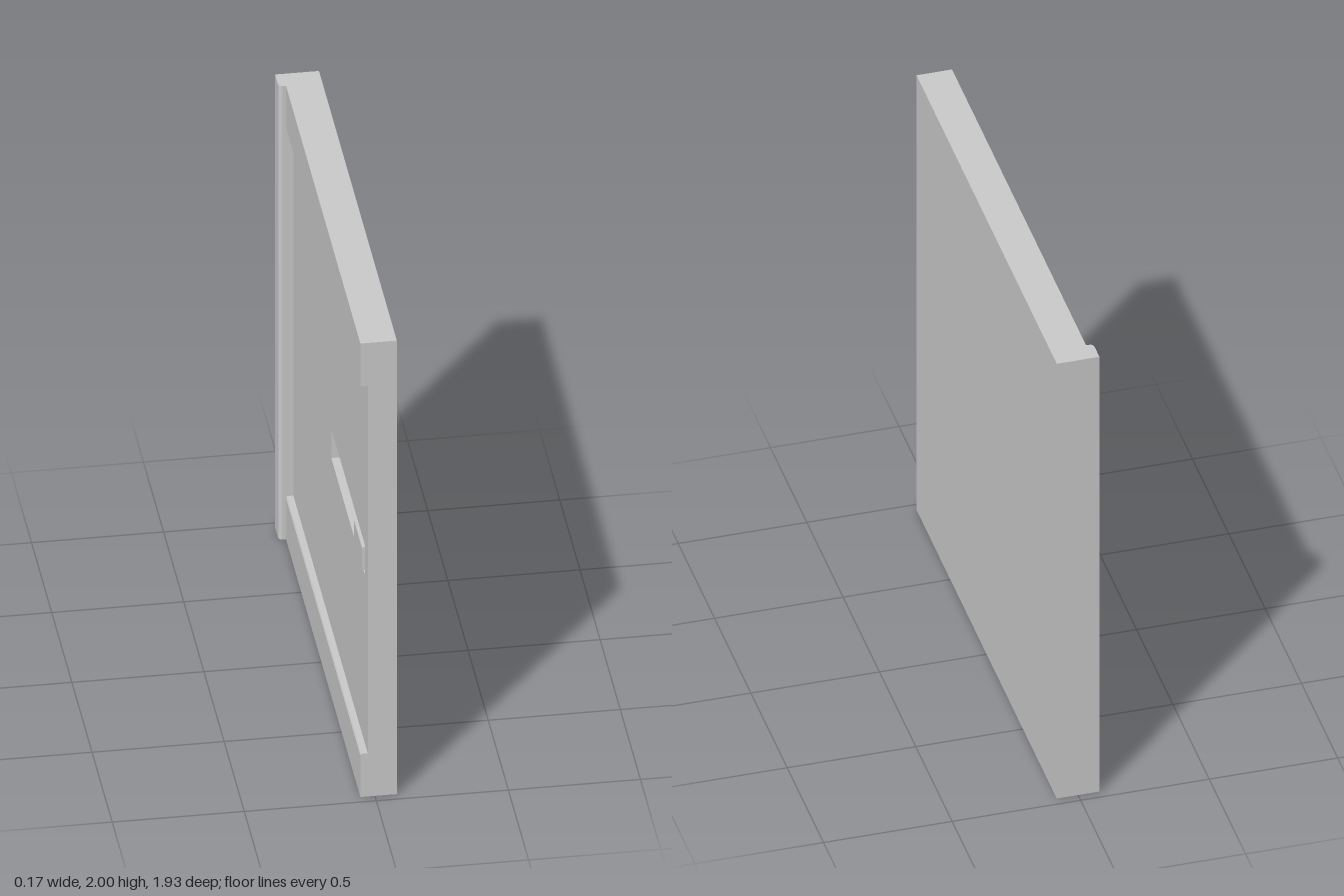
import * as THREE from 'three';

export function createModel() {
  const group = new THREE.Group();
  const mat = new THREE.MeshStandardMaterial({ color: 0xcccccc, flatShading: true });
  const add = (name, geo) => {
    const mesh = new THREE.Mesh(geo, mat);
    mesh.name = name;
    group.add(mesh);
  };
  // box given by its limits on each axis
  const slab = (name, x0, x1, y0, y1, z0, z1) => add(name,
    new THREE.BoxGeometry(x1 - x0, y1 - y0, z1 - z0)
      .translate((x0 + x1) / 2, (y0 + y1) / 2, (z0 + z1) / 2));
  const poly = (pts) => new THREE.Shape(pts.map(([a, b]) => new THREE.Vector2(a, b)));
  const rect = (a0, a1, b0, b1) => [[a0, b0], [a1, b0], [a1, b1], [a0, b1]];
  const extrude = (shape, depth) =>
    new THREE.ExtrudeGeometry(shape, { depth, bevelEnabled: false, curveSegments: 8 });

  const Z = 0.965, outer = 0.083, floor = 0.03, recess = -0.027, rail = -0.055, lipZ = -0.88;

  // solid outer panel
  slab('outerPanel', floor, outer, 0, 2, -Z, Z);

  // inner plate with the latch slot cut through it
  const plate = poly(rect(lipZ, Z, 0, 2));
  plate.holes.push(poly(rect(0.06, 0.9, 0.935, 1.065)));
  add('innerPlate', extrude(plate, floor - recess).rotateY(-Math.PI / 2).translate(floor, 0, 0));

  // top and bottom rails with a small chamfer, mirrored in height
  for (const top of [false, true]) {
    const pts = [[recess, 0], [recess, 0.19], [rail + 0.004, 0.19], [rail, 0.183], [rail, 0]]
      .map(([x, y]) => [x, top ? 2 - y : y]);
    add(top ? 'topRail' : 'bottomRail', extrude(poly(pts), Z - lipZ).translate(0, 0, lipZ));
  }

  // full-height edge post with a rounded overlapping lip
  const lip = new THREE.Shape();
  lip.moveTo(floor, Z);
  lip.lineTo(-outer, Z);
  lip.lineTo(-outer, 0.9);
  lip.quadraticCurveTo(-outer, -lipZ, -0.066, -lipZ);
  lip.lineTo(floor, -lipZ);
  lip.closePath();
  add('edgePost', extrude(lip, 2).rotateX(-Math.PI / 2));

  // guide ribs inside the slot and the sliding latch block
  for (const y of [0.975, 1.025]) slab('slotRib', 0.005, floor, y - 0.012, y + 0.012, 0.06, 0.9);
  slab('latchBlock', -0.037, floor, 0.95, 1.05, 0.69, 0.885);

  return group;
}
